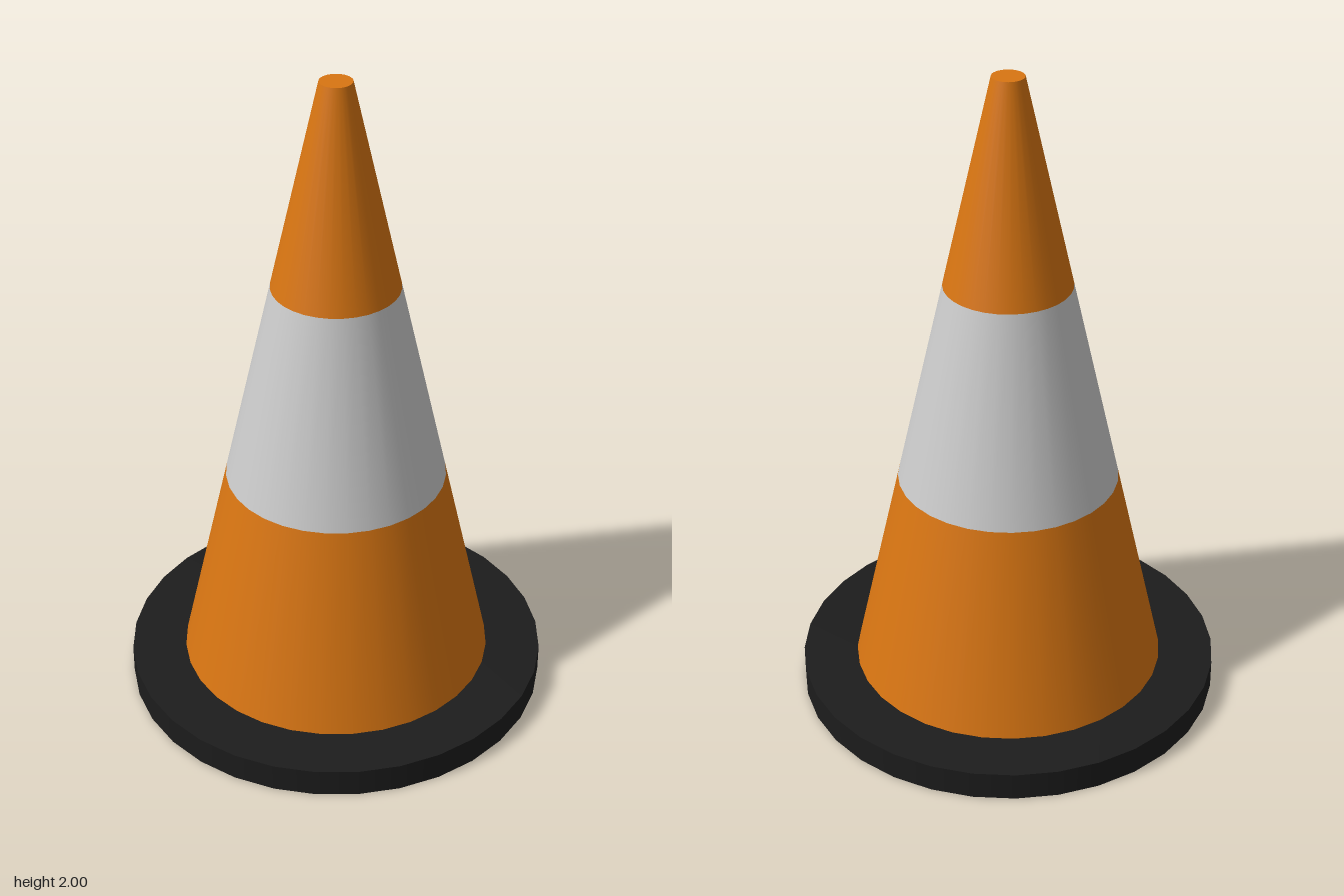
import * as THREE from 'three';

const SEGMENTS = 32;
const BASE_TOP = 0.087, TIP = 2;
const CONE_BOTTOM_R = 0.478, CONE_TOP_R = 0.048;

// Radius of the tapering cone wall at height y
const radiusAt = (y) =>
  THREE.MathUtils.mapLinear(y, BASE_TOP, TIP, CONE_BOTTOM_R, CONE_TOP_R);

function material(color) {
  return new THREE.MeshStandardMaterial({ color, side: THREE.DoubleSide });
}

export function createModel() {
  const model = new THREE.Group();
  const orange = material(0xd87512);
  const grey = material(0xcccccc);
  const black = material(0x1c1c1c);

  const add = (name, geometry, mat, parent = model) => {
    const mesh = new THREE.Mesh(geometry, mat);
    mesh.name = name;
    parent.add(mesh);
    return mesh;
  };

  // Hollow cone wall in three coloured bands
  const cone = new THREE.Group();
  cone.name = 'cone';
  model.add(cone);
  const bands = [
    ['lowerBand', BASE_TOP, 0.727, orange],
    ['reflectiveBand', 0.727, 1.364, grey],
    ['upperBand', 1.364, TIP, orange],
  ];
  for (const [name, y0, y1, mat] of bands) {
    const wall = new THREE.CylinderGeometry(
      radiusAt(y1), radiusAt(y0), y1 - y0, SEGMENTS, 1, true);
    add(name, wall, mat, cone).position.y = (y0 + y1) / 2;
  }

  // Flat cap closing the tip
  const cap = new THREE.CircleGeometry(CONE_TOP_R, SEGMENTS).rotateX(-Math.PI / 2);
  add('tipCap', cap, orange, cone).position.y = TIP;

  // Base: flat ring with a skirt, open underneath
  const base = new THREE.Group();
  base.name = 'base';
  model.add(base);
  const baseRadius = 0.646;
  const ring = new THREE.RingGeometry(CONE_BOTTOM_R, baseRadius, SEGMENTS).rotateX(-Math.PI / 2);
  add('baseRing', ring, black, base).position.y = BASE_TOP;
  const skirt = new THREE.CylinderGeometry(baseRadius, baseRadius, BASE_TOP, SEGMENTS, 1, true);
  add('baseSkirt', skirt, black, base).position.y = BASE_TOP / 2;

  return model;
}
